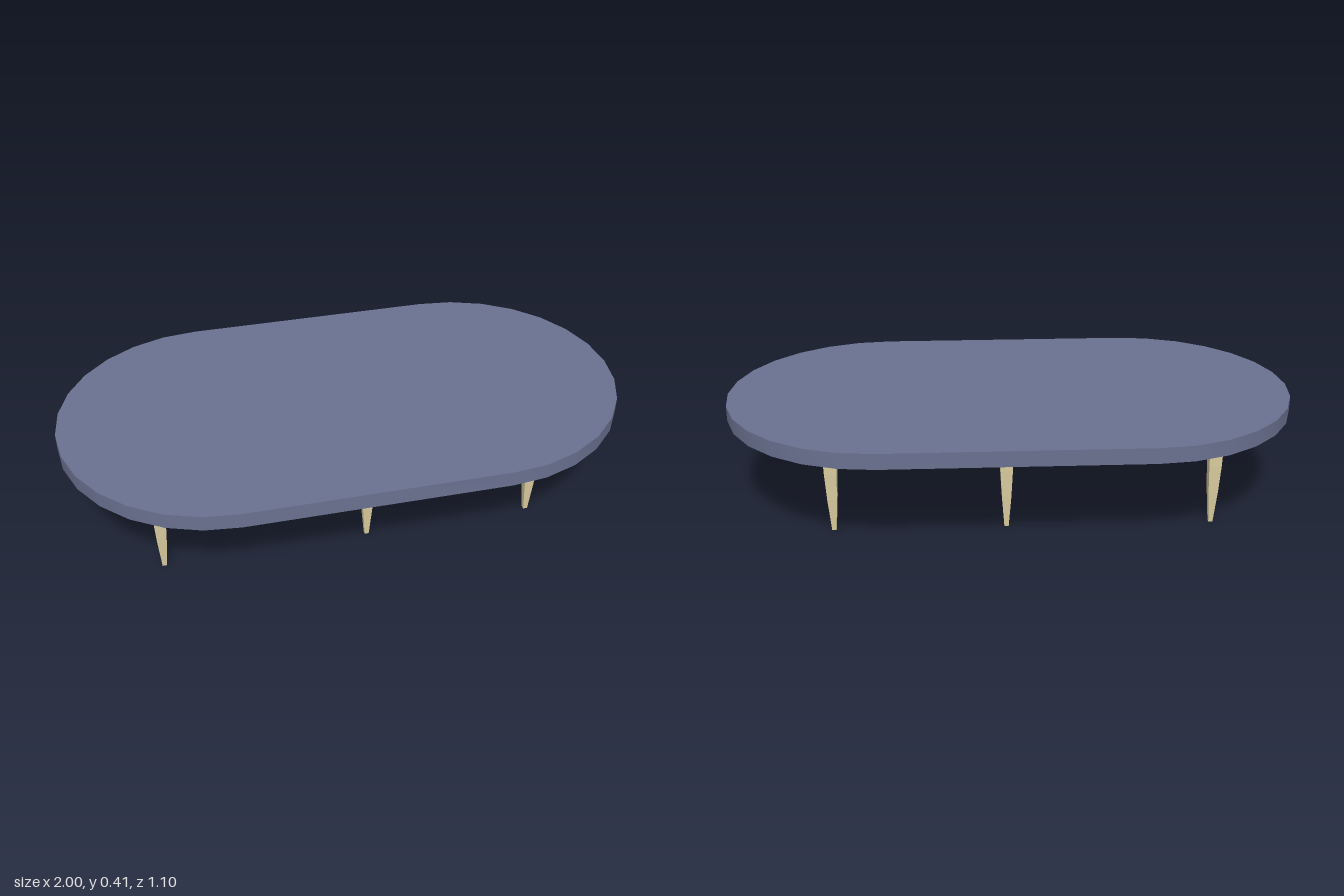
import * as THREE from 'three';
import { toCreasedNormals } from 'three/addons/utils/BufferGeometryUtils.js';

const TOP_Y = 0.408, UNDER_Y = 0.353, END_RADIUS = 0.55, END_X = 0.45;

// Stadium-shaped slab with faceted round ends
function makeTabletop() {
  const shape = new THREE.Shape();
  shape.absarc(END_X, 0, END_RADIUS, -Math.PI / 2, Math.PI / 2, false);
  shape.absarc(-END_X, 0, END_RADIUS, Math.PI / 2, Math.PI * 1.5, false);
  const slab = new THREE.ExtrudeGeometry(shape, {
    depth: TOP_Y - UNDER_Y, bevelEnabled: false, curveSegments: 7,
  });
  slab.rotateX(-Math.PI / 2).translate(0, UNDER_Y, 0);
  const material = new THREE.MeshStandardMaterial({ color: 0x6a7190 });
  const mesh = new THREE.Mesh(toCreasedNormals(slab, 0.6), material);
  mesh.name = 'tabletop';
  return mesh;
}

// Square leg with a slightly bowed taper: [half width, height]
function makeLegGeometry() {
  const profile = [[0, 0], [0.0075, 0], [0.0165, 0.12], [0.0215, 0.22], [0.0245, UNDER_Y], [0, UNDER_Y]]
    .map(([half, y]) => new THREE.Vector2(half * Math.SQRT2, y));
  return new THREE.LatheGeometry(profile, 4, Math.PI / 4);
}

export function createModel() {
  const group = new THREE.Group();
  group.name = 'table';
  group.add(makeTabletop());

  // Two rows of three legs
  const geometry = makeLegGeometry();
  const material = new THREE.MeshStandardMaterial({ color: 0xdacd9e, flatShading: true });
  const columns = [['right', -0.697], ['middle', 0.024], ['left', 0.624]];
  const rows = [['front', 0.278], ['back', -0.272]];
  for (const [rowName, z] of rows) {
    for (const [columnName, x] of columns) {
      const leg = new THREE.Mesh(geometry, material);
      leg.name = `${rowName} ${columnName} leg`;
      leg.position.set(x, 0, z);
      group.add(leg);
    }
  }
  return group;
}
